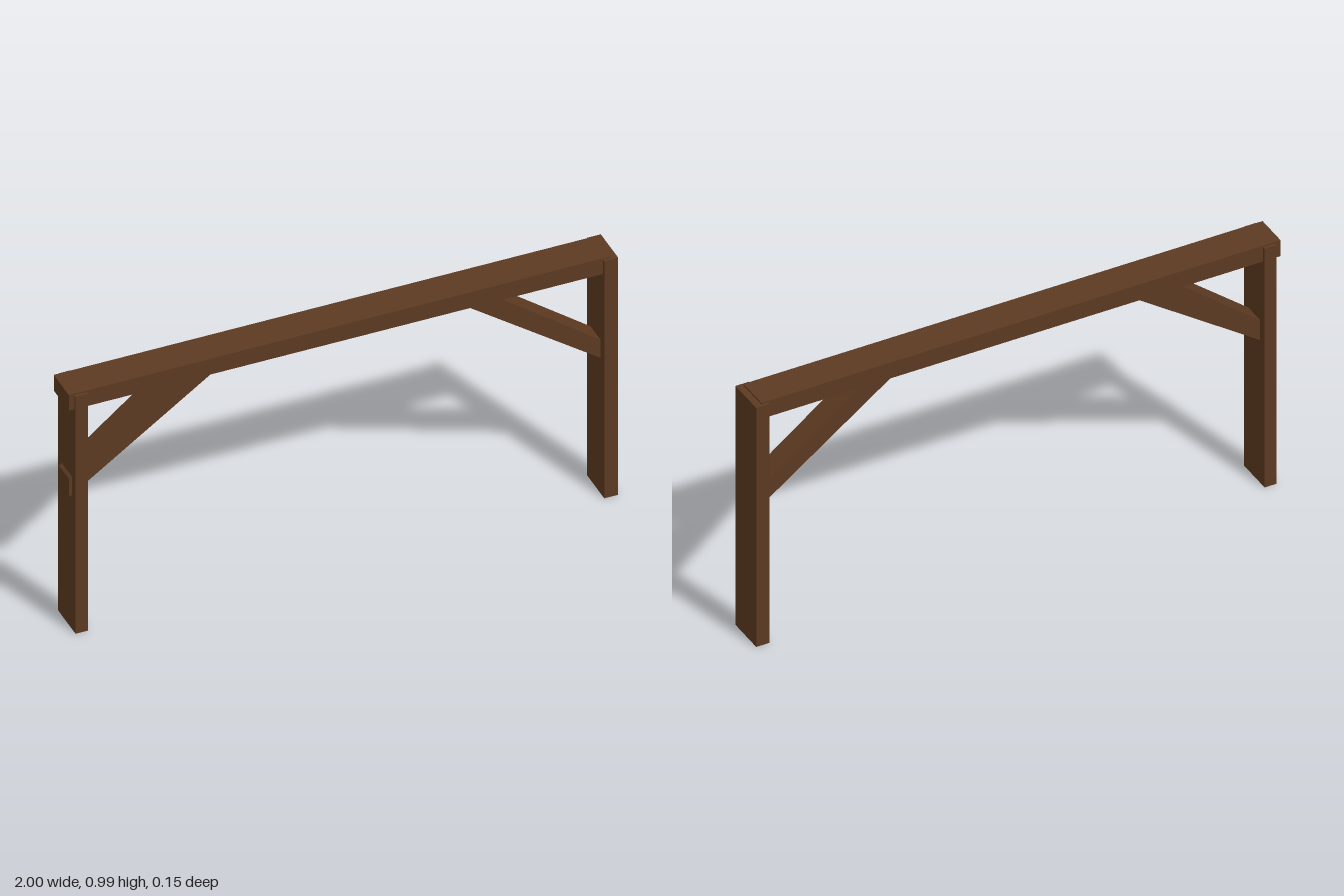
import * as THREE from 'three';

export function createModel() {
  const group = new THREE.Group();
  const wood = new THREE.MeshStandardMaterial({ color: 0x5c3a21 });
  wood.name = 'dark brown wood';

  // Squared timber given by its x and y extents and its depth
  function timber(name, x0, x1, y0, y1, depth) {
    const mesh = new THREE.Mesh(new THREE.BoxGeometry(x1 - x0, y1 - y0, depth), wood);
    mesh.position.set((x0 + x1) / 2, (y0 + y1) / 2, 0);
    mesh.name = name;
    group.add(mesh);
  }

  // Diagonal brace cut from a four-cornered outline
  function brace(name, corners, depth) {
    const shape = new THREE.Shape(corners.map(([x, y]) => new THREE.Vector2(x, y)));
    const geometry = new THREE.ExtrudeGeometry(shape, { depth, bevelEnabled: false });
    geometry.translate(0, 0, -depth / 2);
    const mesh = new THREE.Mesh(geometry, wood);
    mesh.name = name;
    group.add(mesh);
  }

  // Posts and the slightly narrower beam across them
  timber('rightPost', -0.98, -0.934, 0, 0.978, 0.146);
  timber('leftPost', 0.949, 1, 0, 0.979, 0.146);
  timber('topBeam', -1, 0.975, 0.92, 0.985, 0.126);

  // Braces run up into the beam; the right one pokes out through its post
  brace('rightBrace', [[-0.99, 0.546], [-0.407, 0.95], [-0.583, 0.95], [-0.99, 0.621]], 0.084);
  brace('leftBrace', [[0.98, 0.537], [0.98, 0.611], [0.531, 0.95], [0.409, 0.95]], 0.084);

  return group;
}
